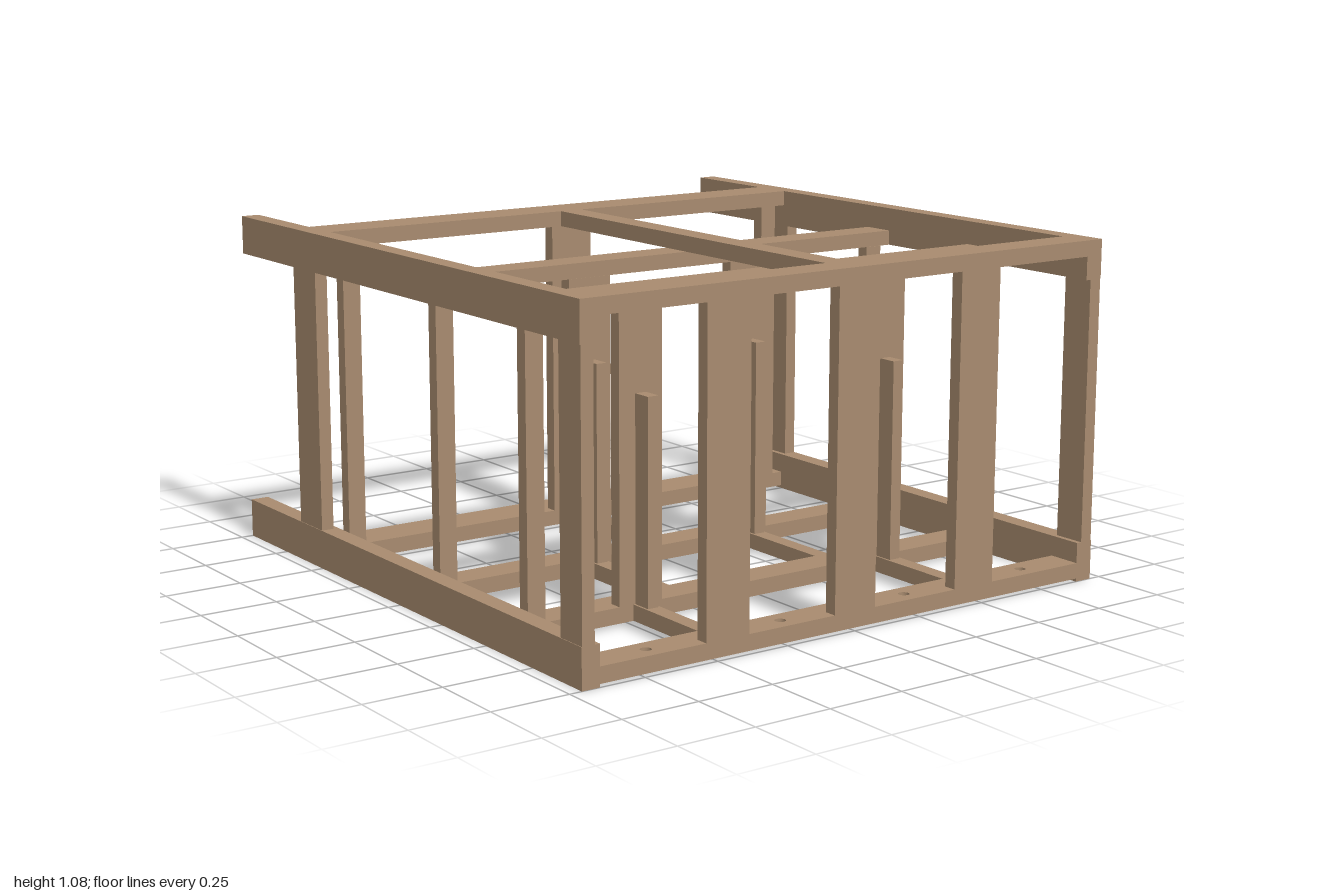
import * as THREE from 'three';

export function createModel() {
  const model = new THREE.Group();
  model.name = 'timberFrame';
  const wood = new THREE.MeshStandardMaterial({ color: 0xa88b6f });

  // Box from its minimum and maximum on each axis
  function beam(name, x0, x1, y0, y1, z0, z1) {
    const mesh = new THREE.Mesh(new THREE.BoxGeometry(x1 - x0, y1 - y0, z1 - z0), wood);
    mesh.position.set((x0 + x1) / 2, (y0 + y1) / 2, (z0 + z1) / 2);
    mesh.name = name;
    model.add(mesh);
  }

  const inner = 0.9, outer = 0.96;
  const floorLow = 0.01, floorTop = 0.06;
  const roofLow = 1.03, roofTop = 1.08;
  const midLow = 0.957, midTop = 1.005;

  // Side rails, corner boards and inner side studs
  for (const s of [-1, 1]) {
    const sided = (name, a, b, ...rest) => beam(name, Math.min(s * a, s * b), Math.max(s * a, s * b), ...rest);
    sided('bottomSideRail', inner, outer, 0, 0.125, -1, 1);
    sided('topSideRail', inner, outer, 0.957, roofTop, -1, 1);
    sided('frontCornerBoard', 0.917, outer - 0.002, 0.125, 0.957, 0.893, 1);
    sided('rearCornerBoard', 0.917, outer - 0.002, 0.125, 0.957, -0.645, -0.5);
    for (const [z, top] of [[0.57, midLow], [0.075, midLow], [-0.5, roofLow]])
      sided('sideStud', 0.8, 0.86, floorTop, top, z - 0.042, z);
  }

  // Cross beams: back edge, front edge, bottom and top of the upper beam
  beam('rearFloorBeam', -inner, inner, floorLow, floorTop, -0.645, -0.5);
  beam('rearTopBeam', -inner, inner, roofLow, roofTop, -0.645, -0.5);
  beam('frontTopBeam', -inner, inner, roofLow, roofTop, 0.89, 1);
  for (const [z0, z1] of [[-0.037, 0.072], [0.46, 0.57]]) {
    beam('middleFloorBeam', -inner, inner, floorLow, floorTop, z0, z1);
    beam('middleTopBeam', -inner, inner, midLow, midTop, z0, z1);
  }
  beam('topCentreBeam', -0.04, 0.04, roofLow, roofTop, -0.5, 0.89);

  // Front floor beam with bored holes
  const plank = new THREE.Shape([
    new THREE.Vector2(-inner, -0.055), new THREE.Vector2(inner, -0.055),
    new THREE.Vector2(inner, 0.055), new THREE.Vector2(-inner, 0.055),
  ]);
  for (const x of [-0.71, -0.235, 0.235, 0.71])
    plank.holes.push(new THREE.Path().absarc(x, 0, 0.017, 0, Math.PI * 2, true));
  const plankGeometry = new THREE.ExtrudeGeometry(plank, { depth: floorTop - floorLow, bevelEnabled: false, curveSegments: 16 });
  plankGeometry.rotateX(-Math.PI / 2);
  const frontFloorBeam = new THREE.Mesh(plankGeometry, wood);
  frontFloorBeam.position.set(0, floorLow, 0.945);
  frontFloorBeam.name = 'frontFloorBeam';
  model.add(frontFloorBeam);

  // Wide upright boards on the front beam
  for (const x of [-0.465, 0, 0.465])
    beam('frontBoard', x - 0.076, x + 0.076, floorTop, roofLow, 0.958, 1);

  // Inner boards, each with a short post and a floor spacer ahead of it
  for (const [x, z, spacerEnd, top] of [
    [-0.465, 0.57, 0.89, midLow], [0.465, 0.57, 0.89, midLow],
    [-0.31, 0.073, 0.46, midLow], [0.31, 0.073, 0.46, midLow],
    [0, -0.5, -0.037, roofLow],
  ]) {
    beam('innerBoard', x - 0.076, x + 0.076, floorTop, top, z - 0.042, z);
    beam('shortPost', x - 0.019, x + 0.019, floorTop, 0.697, z, z + 0.064);
    beam('floorSpacer', x - 0.026, x + 0.026, floorLow, floorTop, z, spacerEnd);
  }

  return model;
}
